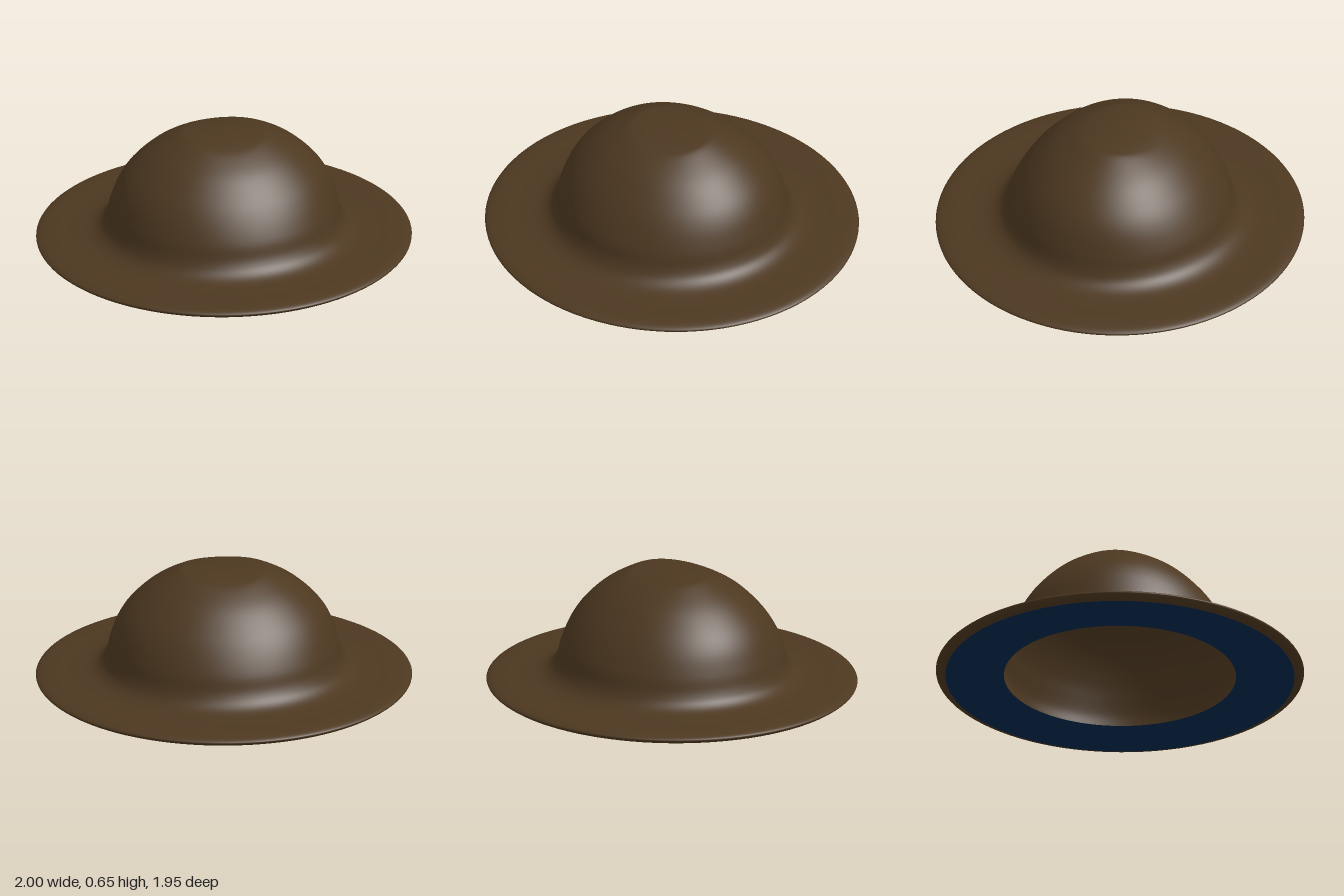
import * as THREE from 'three';
import { mergeVertices } from 'three/addons/utils/BufferGeometryUtils.js';

const felt = new THREE.MeshStandardMaterial({ color: 0x4d3820 });
const lining = new THREE.MeshStandardMaterial({ color: 0x03294f });

// Profiles as [radius, height], rim underside up to the crown top.
// One runs through the sides (x), the other through front and back (z).
const sideProfile = [
  [0.95, 0.008], [0.98, 0.018], [1.0, 0.038], [0.97, 0.054], [0.9, 0.063], [0.8, 0.068], [0.71, 0.08],
  [0.655, 0.112], [0.627, 0.165], [0.606, 0.25], [0.565, 0.36], [0.5, 0.455], [0.39, 0.555],
  [0.25, 0.635], [0.19, 0.648], [0.09, 0.654], [0, 0.655],
];
const frontProfile = [
  [0.925, 0.008], [0.955, 0.018], [0.976, 0.038], [0.95, 0.054], [0.89, 0.063], [0.79, 0.067], [0.7, 0.079],
  [0.64, 0.11], [0.603, 0.165], [0.577, 0.25], [0.525, 0.35], [0.46, 0.44], [0.36, 0.54],
  [0.25, 0.608], [0.17, 0.636], [0.08, 0.651], [0, 0.655],
];

// Revolved surface whose profile blends from side to front around the turn
function loft(name, material, side, front, steps, segments = 96) {
  const sample = (p) => new THREE.SplineCurve(p.map(([r, y]) => new THREE.Vector2(r, y))).getPoints(steps);
  const a = sample(side), b = sample(front);
  const geometry = new THREE.LatheGeometry(a, segments);
  const pos = geometry.attributes.position;
  for (let i = 0; i <= segments; i++) {
    const phi = ((i % segments) / segments) * Math.PI * 2;
    const k = Math.cos(phi) ** 2;
    for (let j = 0; j < a.length; j++) {
      const p = a[j].clone().lerp(b[j], k);
      pos.setXYZ(i * a.length + j, p.x * Math.sin(phi), p.y, p.x * Math.cos(phi));
    }
  }
  // Weld the seam so the shading is smooth all round
  geometry.deleteAttribute('uv');
  geometry.deleteAttribute('normal');
  const welded = mergeVertices(geometry, 1e-5);
  welded.computeVertexNormals();
  const mesh = new THREE.Mesh(welded, material);
  mesh.name = name;
  return mesh;
}

export function createModel() {
  const hat = new THREE.Group();
  hat.name = 'hat';

  // Crown and brim in one continuous skin
  hat.add(loft('crownAndBrim', felt, sideProfile, frontProfile, 80));

  // Hollow inside of the crown, facing inward
  const inside = (profile, opening) => [
    ...profile.slice(8).reverse().map(([r, y]) => [r * 0.985, y - 0.01]),
    [opening, 0.07], [opening, 0.01],
  ];
  hat.add(loft('crownInside', felt, inside(sideProfile, 0.632), inside(frontProfile, 0.615), 50));

  // Flat coloured lining under the brim
  hat.add(loft('brimLining', lining,
    [[0.632, 0.01], [0.8, 0.008], [0.95, 0.008]],
    [[0.615, 0.01], [0.78, 0.008], [0.925, 0.008]], 4));

  // Rest the lowest edge on the ground
  const box = new THREE.Box3().setFromObject(hat);
  hat.children.forEach((mesh) => mesh.geometry.translate(0, -box.min.y, 0));
  return hat;
}
